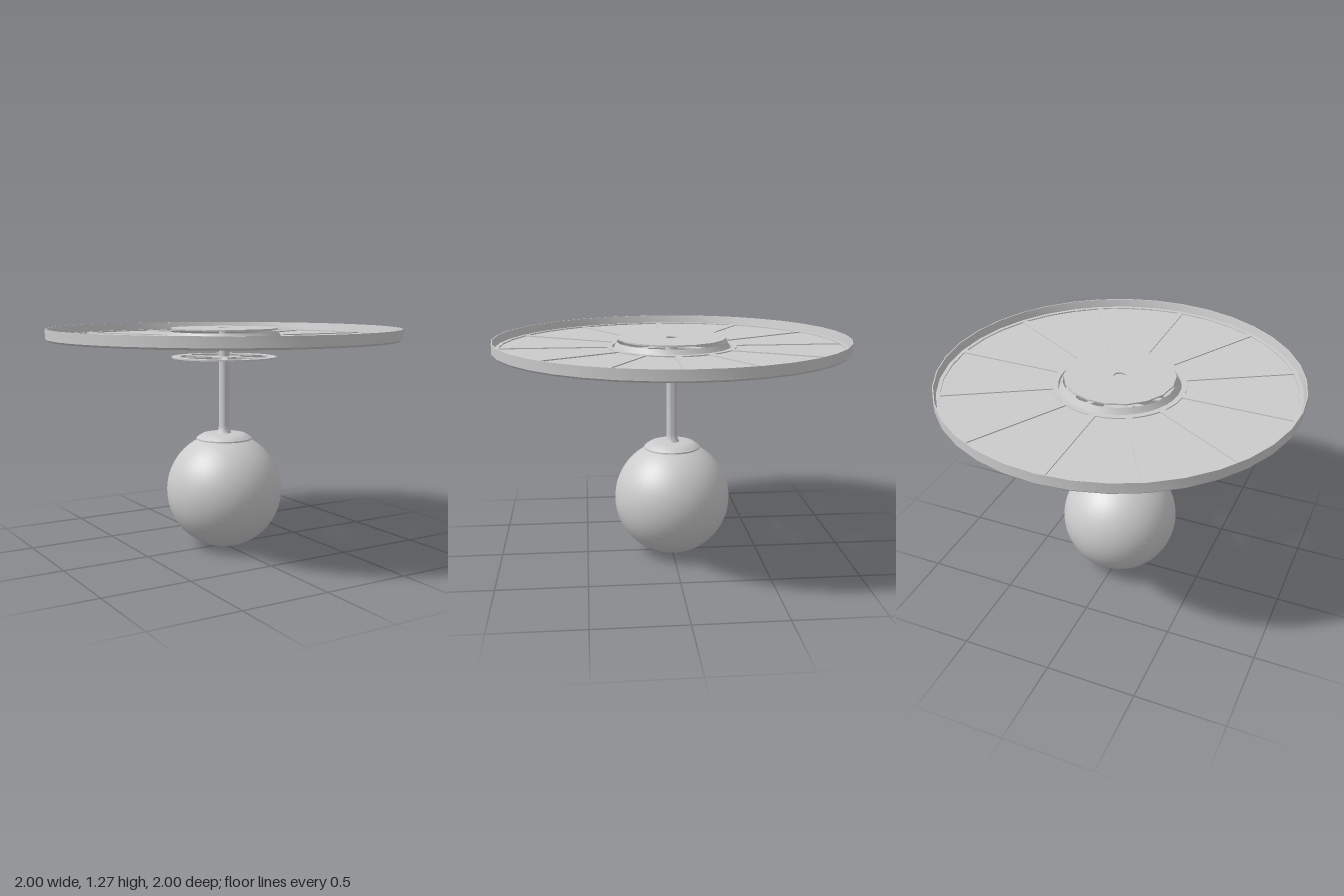
import * as THREE from 'three';
import { toCreasedNormals } from 'three/addons/utils/BufferGeometryUtils.js';

const grey = new THREE.MeshStandardMaterial({ color: 0xcccccc });
const greyDouble = new THREE.MeshStandardMaterial({ color: 0xcccccc, side: THREE.DoubleSide });

// Arc as a list of points
function arc(r, a0, a1, n) {
  return Array.from({ length: n + 1 }, (_, i) => {
    const a = a0 + (a1 - a0) * i / n;
    return new THREE.Vector2(r * Math.cos(a), r * Math.sin(a));
  });
}
const circle = (r, n) => arc(r, 0, Math.PI * 2, n).slice(0, n);

// Wedge between two radii, with straight parallel gaps to its neighbours
function wedge(index, count, rIn, rOut, halfGap, nIn, nOut) {
  const step = Math.PI * 2 / count, a0 = index * step, a1 = a0 + step;
  const o = Math.asin(halfGap / rOut), i = Math.asin(halfGap / rIn);
  return [...arc(rOut, a0 + o, a1 - o, nOut), ...arc(rIn, a1 - i, a0 + i, nIn)];
}

// Flat horizontal plate cut from an outline with holes
function plate(outline, holes, y, height) {
  const shape = new THREE.Shape(outline);
  shape.holes = holes.map((h) => new THREE.Path(h));
  return new THREE.ExtrudeGeometry(shape, { depth: height, bevelEnabled: false })
    .rotateX(-Math.PI / 2).translate(0, y, 0);
}

function lathe(points, segments, crease = 0.6) {
  const g = new THREE.LatheGeometry(points.map(([r, y]) => new THREE.Vector2(r, y)), segments);
  return toCreasedNormals(g, crease);
}

export function createModel() {
  const model = new THREE.Group();
  const add = (name, geometry, material = grey) => {
    const mesh = new THREE.Mesh(geometry, material);
    mesh.name = name;
    model.add(mesh);
  };

  // Large ceiling wheel: upright rim, spoked frame and thin panels
  add('outerRim', lathe([
    [0.965, 1.205], [0.99, 1.205], [1, 1.215], [1, 1.27],
    [0.994, 1.27], [0.985, 1.225], [0.965, 1.225], [0.965, 1.205],
  ], 36));
  const wedges = Array.from({ length: 12 }, (_, i) => wedge(i, 12, 0.365, 0.963, 0.018, 3, 3));
  add('spokedFrame', plate(circle(0.975, 36), [...wedges, circle(0.335, 36)], 1.206, 0.018));
  wedges.forEach((w) => add('panel', plate(w, [], 1.212, 0.006)));

  // Tapered collar around the opening and the cover disc over it
  add('innerCollar', lathe([[0.334, 1.205], [0.311, 1.25]], 18), greyDouble);
  add('coverDisc', plate(circle(0.305, 18), [circle(0.035, 18)], 1.262, 0.008));

  // Two thin spoked rings on the stem
  for (const y of [1.1, 1.166]) {
    const holes = Array.from({ length: 6 }, (_, i) => wedge(i, 6, 0.09, 0.25, 0.015, 3, 6));
    add('supportRing', plate(circle(0.3, 36), holes, y, 0.008));
  }

  // Stem with a small flare at the globe cap
  add('stem', lathe([
    [0, 0.64], [0.045, 0.66], [0.04, 0.672], [0.032, 0.69], [0.03, 0.71], [0.03, 1.262], [0, 1.262],
  ], 24));

  // Globe and its domed cap
  add('globe', new THREE.SphereGeometry(0.333, 48, 32).translate(0, 0.333, 0));
  add('globeCap', lathe([
    [0.13, 0.628], [0.16, 0.63], [0.16, 0.638], [0.145, 0.65], [0.125, 0.662], [0.1, 0.667], [0, 0.667],
  ], 36, 0.8));

  return model;
}
